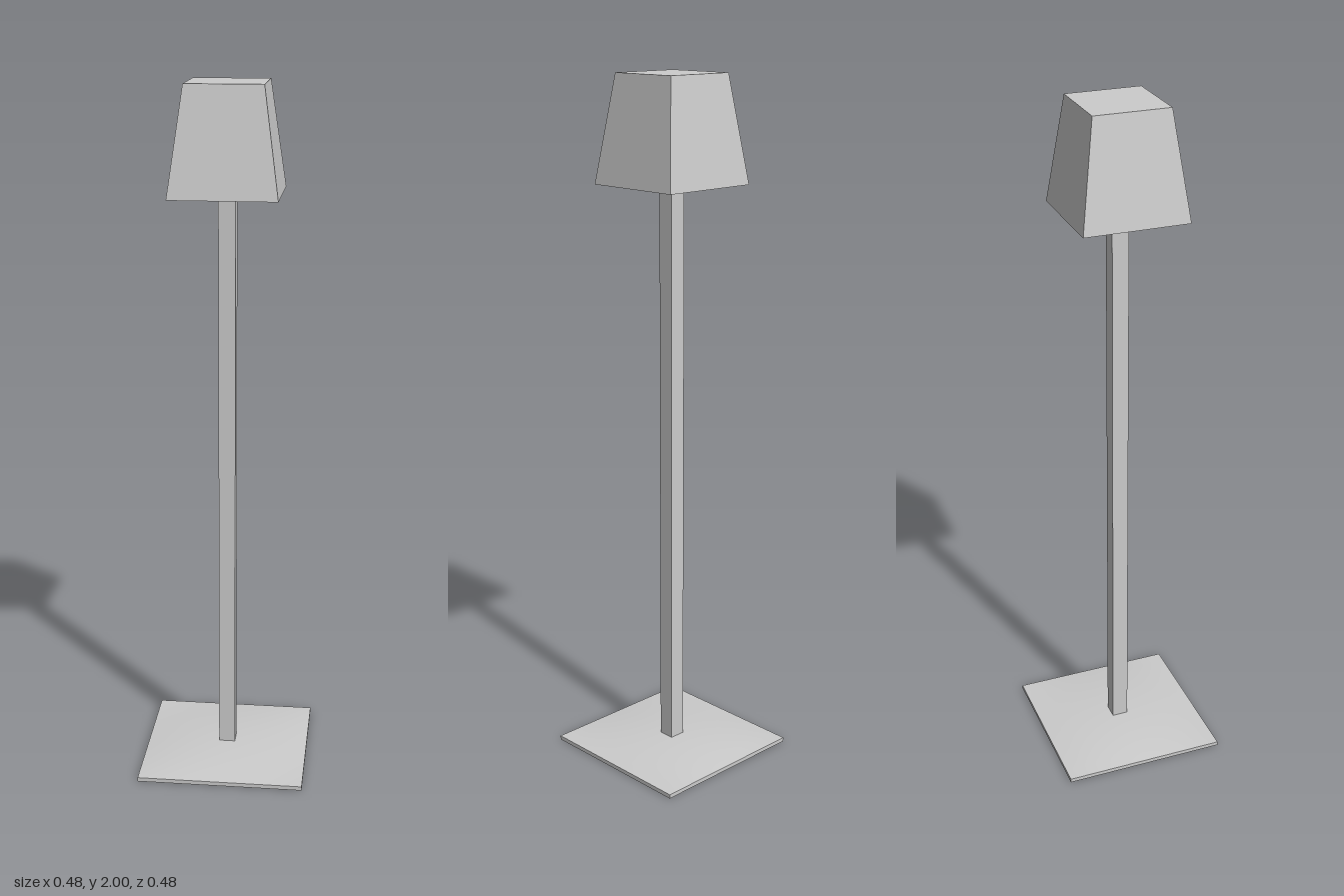
import * as THREE from 'three';

const material = new THREE.MeshStandardMaterial({ color: 0xcccccc });

function addPart(group, name, geometry, y) {
  const mesh = new THREE.Mesh(geometry, material);
  mesh.name = name;
  mesh.position.y = y;
  group.add(mesh);
}

// Square plate whose top swells gently towards the middle
function baseGeometry(half, edge, rise) {
  const geometry = new THREE.BoxGeometry(half * 2, edge, half * 2, 12, 1, 12);
  const pos = geometry.attributes.position;
  for (let i = 0; i < pos.count; i++) {
    if (pos.getY(i) < 0) continue;
    const u = pos.getX(i) / half;
    const v = pos.getZ(i) / half;
    pos.setY(i, edge / 2 + rise * (1 - u * u) * (1 - v * v));
  }
  geometry.computeVertexNormals();
  return geometry;
}

// Closed square shade, narrowing upwards
function shadeGeometry(bottomHalf, topHalf, height) {
  const geometry = new THREE.BoxGeometry(bottomHalf * 2, height, bottomHalf * 2);
  const pos = geometry.attributes.position;
  const taper = topHalf / bottomHalf;
  for (let i = 0; i < pos.count; i++) {
    if (pos.getY(i) < 0) continue;
    pos.setX(i, pos.getX(i) * taper);
    pos.setZ(i, pos.getZ(i) * taper);
  }
  geometry.computeVertexNormals();
  return geometry;
}

export function createModel() {
  const lamp = new THREE.Group();
  lamp.name = 'floorLamp';

  addPart(lamp, 'base', baseGeometry(0.242, 0.012, 0.016), 0.006);

  // Square pole from the base to the underside of the shade
  const poleBottom = 0.015, poleTop = 1.705;
  addPart(lamp, 'pole', new THREE.BoxGeometry(0.048, poleTop - poleBottom, 0.048), (poleBottom + poleTop) / 2);

  addPart(lamp, 'shade', shadeGeometry(0.15, 0.108, 0.3), 1.85);

  return lamp;
}
